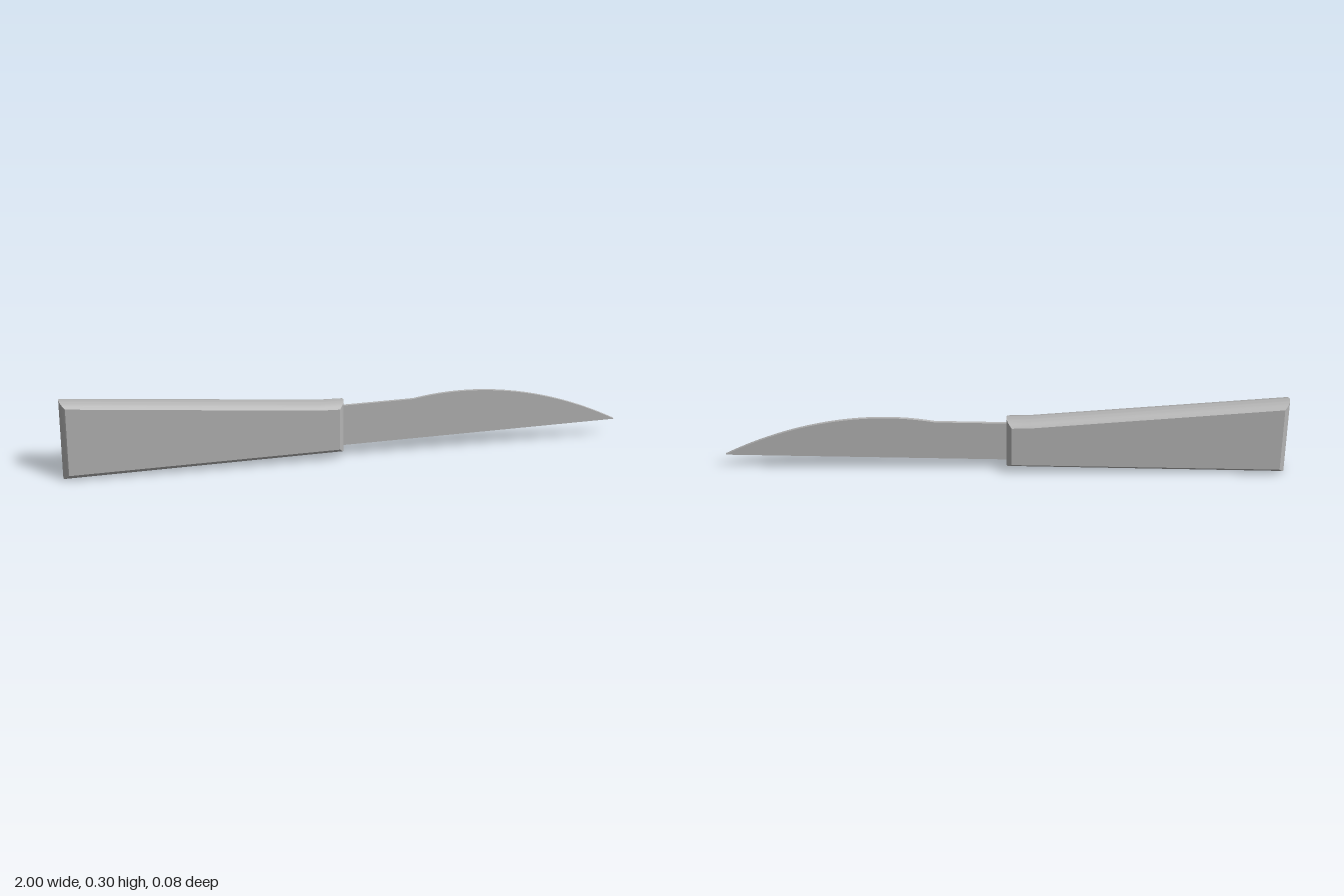
import * as THREE from 'three';
import { toCreasedNormals } from 'three/addons/utils/BufferGeometryUtils.js';

const steel = new THREE.MeshStandardMaterial({ color: 0xb4b4b4 });
steel.name = 'grey steel';

// Handle: flat sides, edges bulging in a shallow arc between two outlines
function handleGeometry() {
  const inner = [[-0.98, 0.024], [-0.022, 0.046], [-0.022, 0.202], [-0.1, 0.204], [-0.98, 0.278]];
  const outer = [[-1, 0], [-0.003, 0.025], [-0.003, 0.223], [-0.085, 0.224], [-1, 0.298]];
  const n = inner.length, steps = 14, half = 0.04, rise = 0.021;
  const radius = (half * half + rise * rise) / (2 * rise);
  const sweep = Math.asin(half / radius);
  const positions = [], index = [];
  for (let k = 0; k <= steps; k++) {
    const angle = sweep * (2 * k / steps - 1);
    const bulge = (radius * Math.cos(angle) - radius + rise) / rise;
    for (let i = 0; i < n; i++) {
      positions.push(
        THREE.MathUtils.lerp(inner[i][0], outer[i][0], bulge),
        THREE.MathUtils.lerp(inner[i][1], outer[i][1], bulge),
        radius * Math.sin(angle));
    }
  }
  for (let k = 0; k < steps; k++) {
    for (let i = 0; i < n; i++) {
      const a = k * n + i, b = k * n + (i + 1) % n;
      index.push(a, b, b + n, a, b + n, a + n);
    }
  }
  // Flat side faces, fanned from the kink in the top edge
  const last = steps * n;
  for (const [a, b, c] of [[3, 4, 0], [3, 0, 1], [3, 1, 2]]) {
    index.push(last + a, last + b, last + c, c, b, a);
  }
  const geometry = new THREE.BufferGeometry();
  geometry.setAttribute('position', new THREE.Float32BufferAttribute(positions, 3));
  geometry.setIndex(index);
  return toCreasedNormals(geometry, 0.4);
}

// Blade: thin plate with a straight lower edge and a curved, humped upper edge
function bladeGeometry() {
  const thickness = 0.01;
  const shape = new THREE.Shape();
  shape.moveTo(-0.02, 0.046);
  shape.lineTo(1, 0.069);
  shape.bezierCurveTo(0.76, 0.2, 0.5, 0.255, 0.25, 0.206);
  shape.lineTo(-0.02, 0.2);
  const geometry = new THREE.ExtrudeGeometry(shape, { depth: thickness, bevelEnabled: false, curveSegments: 24 });
  geometry.translate(0, 0, -thickness / 2);
  return toCreasedNormals(geometry, 0.4);
}

export function createModel() {
  const knife = new THREE.Group();
  knife.name = 'knife';
  for (const [name, geometry] of [['handle', handleGeometry()], ['blade', bladeGeometry()]]) {
    const mesh = new THREE.Mesh(geometry, steel);
    mesh.name = name;
    knife.add(mesh);
  }
  return knife;
}
